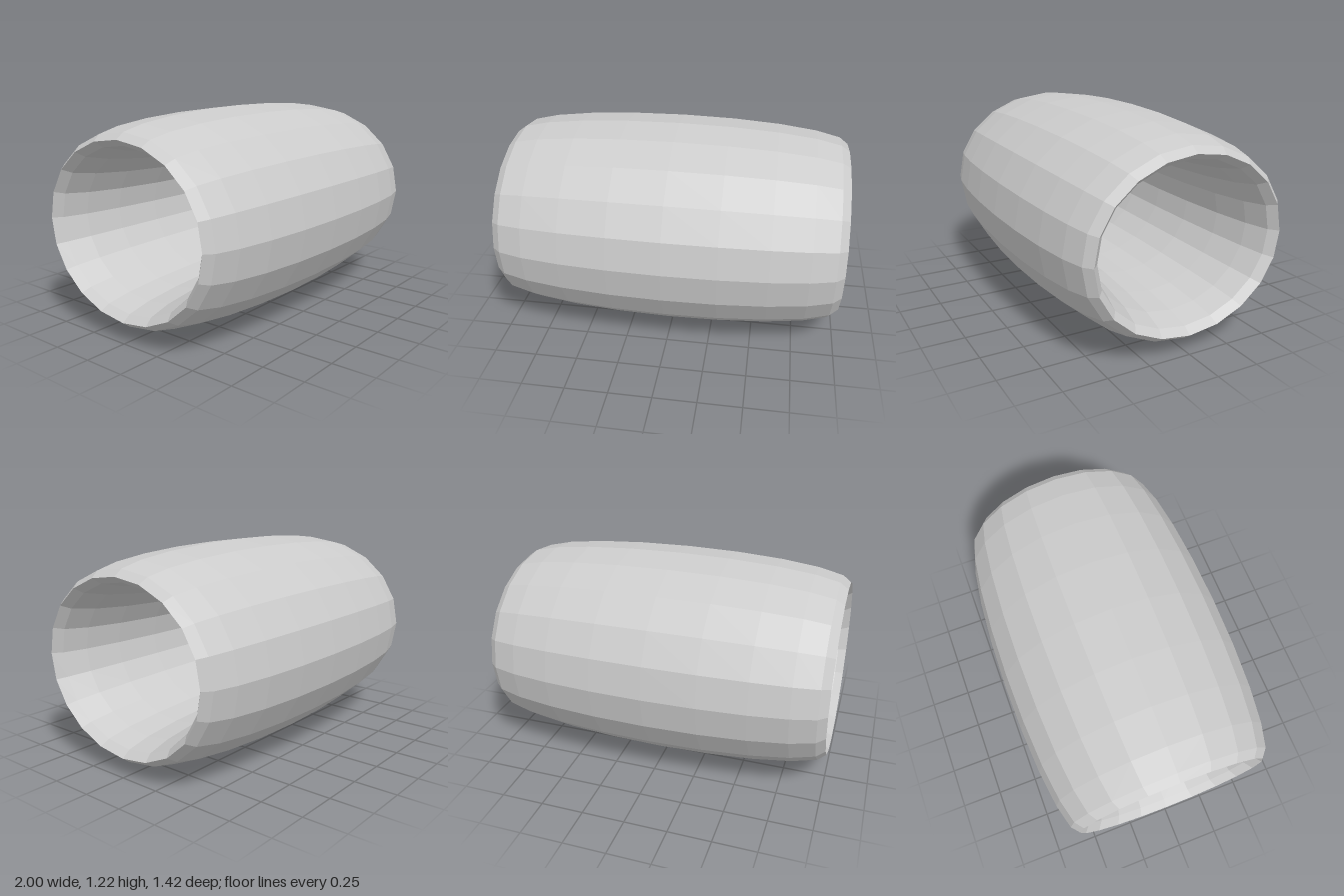
import * as THREE from 'three';

export function createModel() {
  const group = new THREE.Group();
  group.name = 'wideRing';

  // Ring proportions: oval opening along x, long elliptical tube section
  const ringRadius = 0.575, tubeRadius = 0.135, sides = 20;
  const halfLength = 1, halfHeight = 0.611;

  // Torus stretched along its axis, laid on its side and flattened in height
  const geometry = new THREE.TorusGeometry(ringRadius, tubeRadius, sides, sides);
  geometry.scale(1, halfHeight / (ringRadius + tubeRadius), halfLength / tubeRadius);
  geometry.rotateY(Math.PI / 2);
  geometry.rotateZ(-0.005); // very slight lean

  const band = new THREE.Mesh(
    geometry,
    new THREE.MeshStandardMaterial({ color: 0xcccccc, flatShading: true })
  );
  band.name = 'band';
  geometry.computeBoundingBox();
  band.position.y = -geometry.boundingBox.min.y;
  group.add(band);
  return group;
}
